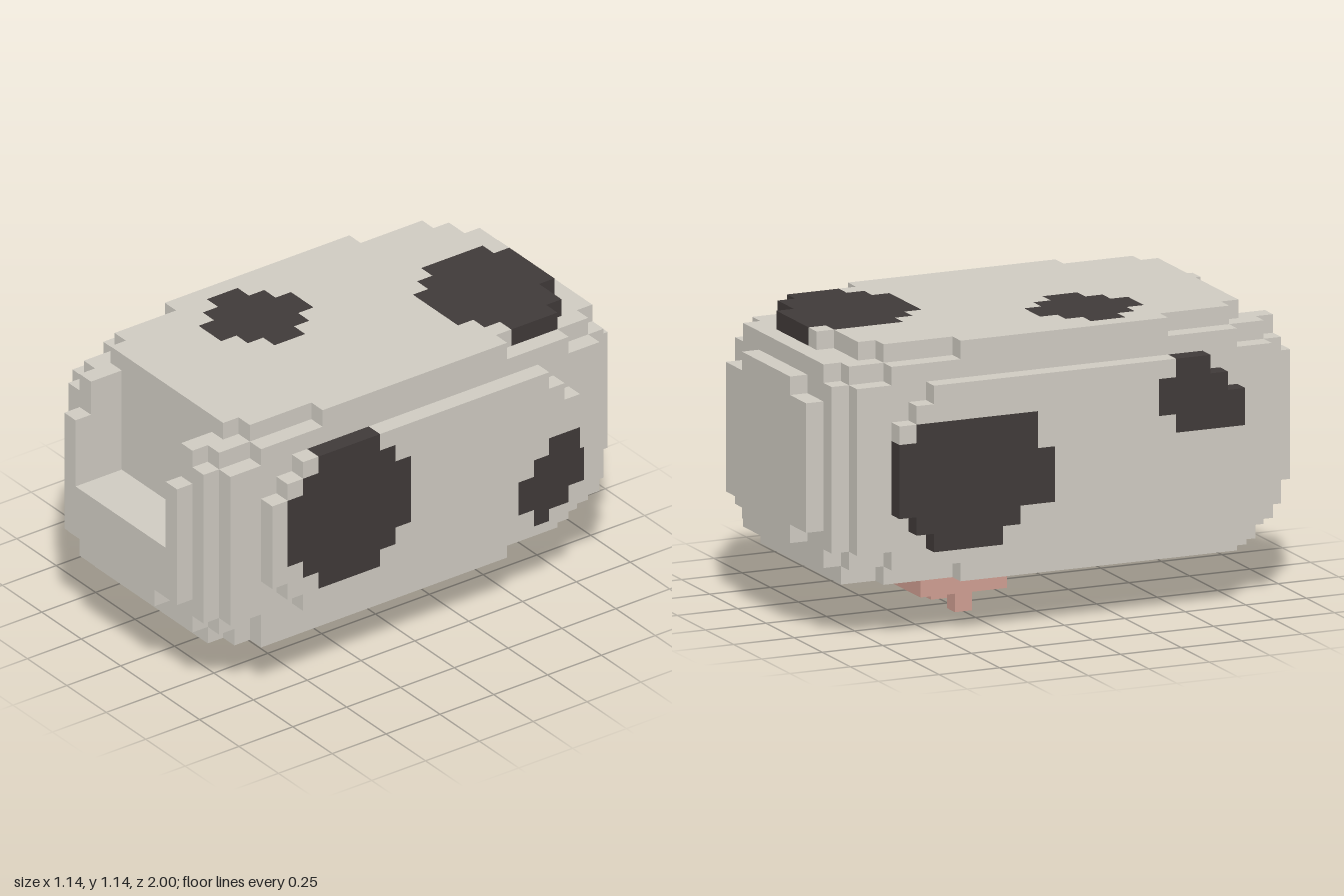
import * as THREE from 'three';

const U = 1 / 14; // size of one block

// Blocks of the hide: [x0, x1, y0, y1, z0, z1]
const BODY = [
  // core with stepped edges
  [-7, 7, 5, 14, -12, 12], [-6, 6, 5, 14, -13, 13], [-5, 5, 4, 15, -13, 13],
  [-6, 6, 4, 15, -12, 12], [-7, 7, 4, 15, -10, 10],
  // back line
  [-7, 7, 15, 16, -6, 6], [-6, 6, 15, 16, -10, 10], [-5, 5, 15, 16, -11, 11], [-2, 3, 15, 16, -12, -11],
  // belly
  [-7, 7, 3, 4, -6, 10], [-6, 6, 3, 4, -10, 11], [-5, 5, 3, 4, -12, 12],
  // flanks
  [-8, 8, 5, 14, -8, 8], [-8, 8, 6, 13, -9, 9], [-8, 8, 7, 12, -10, 10],
  // chest and rump plates
  [-5, 5, 6, 13, -14, 14], [-3, 3, 5, 14, -14, 14],
];
const NECK_SOCKET = [-4, 4, 9, 16, 11, 14];

// Patches as rows: [first row, last row + 1, start, end]
const TOP_ROWS = {
  rearBackPatch: [[-12, -11, -1, 3], [-11, -10, -2, 5], [-10, -7, -2, 6], [-7, -6, -1, 5], [-6, -5, 0, 4]],
  frontBackPatch: [[0, 1, -4, -2], [1, 2, -5, -1], [2, 4, -6, 0], [4, 5, -5, -1], [5, 6, -4, -2]],
};
const LEFT_ROWS = {
  leftShoulderPatch: [[13, 14, 3, 7], [12, 13, 2, 8], [8, 12, 1, 9], [7, 8, 2, 8], [6, 7, 3, 7]],
  leftHipPatch: [[9, 10, -10, -8], [8, 9, -10, -7], [6, 8, -11, -6], [5, 6, -10, -7]],
};
const RIGHT_ROWS = {
  rightShoulderPatch: [[13, 14, 6, 8], [12, 13, 5, 9], [11, 12, 5, 10], [10, 11, 6, 10]],
  rightHipPatch: [[11, 12, -9, -2], [10, 11, -10, -2], [7, 10, -10, -1], [6, 7, -9, -3], [5, 6, -8, -4]],
};

const inBox = (b, x, y, z) => x >= b[0] && x < b[1] && y >= b[2] && y < b[3] && z >= b[4] && z < b[5];
const solid = (x, y, z) => !inBox(NECK_SOCKET, x, y, z) && BODY.some((b) => inBox(b, x, y, z));

function findRow(table, row, col) {
  return Object.keys(table).find((name) =>
    table[name].some(([a, b, c, d]) => row >= a && row < b && col >= c && col < d));
}

// Name of the mesh a block belongs to
function partAt(x, y, z) {
  let name;
  if (y >= 15) name = findRow(TOP_ROWS, z, x);
  else if (x >= 6) name = findRow(LEFT_ROWS, y, z);
  else if (x < -6) name = findRow(RIGHT_ROWS, y, z);
  return name || 'hide';
}

// Adds one outward face of a block
function addFace(list, cell, axis, sign) {
  const u = (axis + 1) % 3, v = (axis + 2) % 3;
  const ring = [[0, 0], [1, 0], [1, 1], [0, 1]];
  if (sign < 0) ring.reverse();
  const pts = ring.map(([a, b]) => {
    const p = [...cell];
    p[axis] += sign > 0 ? 1 : 0;
    p[u] += a;
    p[v] += b;
    return p.map((n) => n * U);
  });
  for (const i of [0, 1, 2, 0, 2, 3]) list.push(...pts[i]);
}

export function createModel() {
  const model = new THREE.Group();
  model.name = 'blockCowBody';
  const hideMat = new THREE.MeshStandardMaterial({ color: 0xcfcbc2 });
  hideMat.name = 'pale hide';
  const patchMat = new THREE.MeshStandardMaterial({ color: 0x403a39 });
  patchMat.name = 'dark patch';
  const udderMat = new THREE.MeshStandardMaterial({ color: 0xd09f92 });
  udderMat.name = 'pink udder';

  // Exposed block faces, gathered per part
  const parts = {};
  for (let x = -8; x < 8; x++) for (let y = 3; y < 16; y++) for (let z = -14; z < 14; z++) {
    if (!solid(x, y, z)) continue;
    const list = (parts[partAt(x, y, z)] ??= []);
    for (let axis = 0; axis < 3; axis++) for (const sign of [-1, 1]) {
      const next = [x, y, z];
      next[axis] += sign;
      if (!solid(...next)) addFace(list, [x, y, z], axis, sign);
    }
  }
  for (const [name, list] of Object.entries(parts)) {
    if (!list.length) continue;
    const geo = new THREE.BufferGeometry();
    geo.setAttribute('position', new THREE.Float32BufferAttribute(list, 3));
    geo.computeVertexNormals();
    const mesh = new THREE.Mesh(geo, name === 'hide' ? hideMat : patchMat);
    mesh.name = name;
    model.add(mesh);
  }

  // Udder and teats
  const addBox = (name, w, h, d, x, y, z) => {
    const mesh = new THREE.Mesh(new THREE.BoxGeometry(w * U, h * U, d * U), udderMat);
    mesh.position.set(x * U, y * U, z * U);
    mesh.name = name;
    model.add(mesh);
  };
  addBox('udder', 4, 2, 5, 0, 2, -3.5);
  addBox('leftTeat', 1, 1, 1, 1.5, 0.5, -3.5);
  addBox('rightTeat', 1, 1, 1, -1.5, 0.5, -3.5);
  return model;
}
